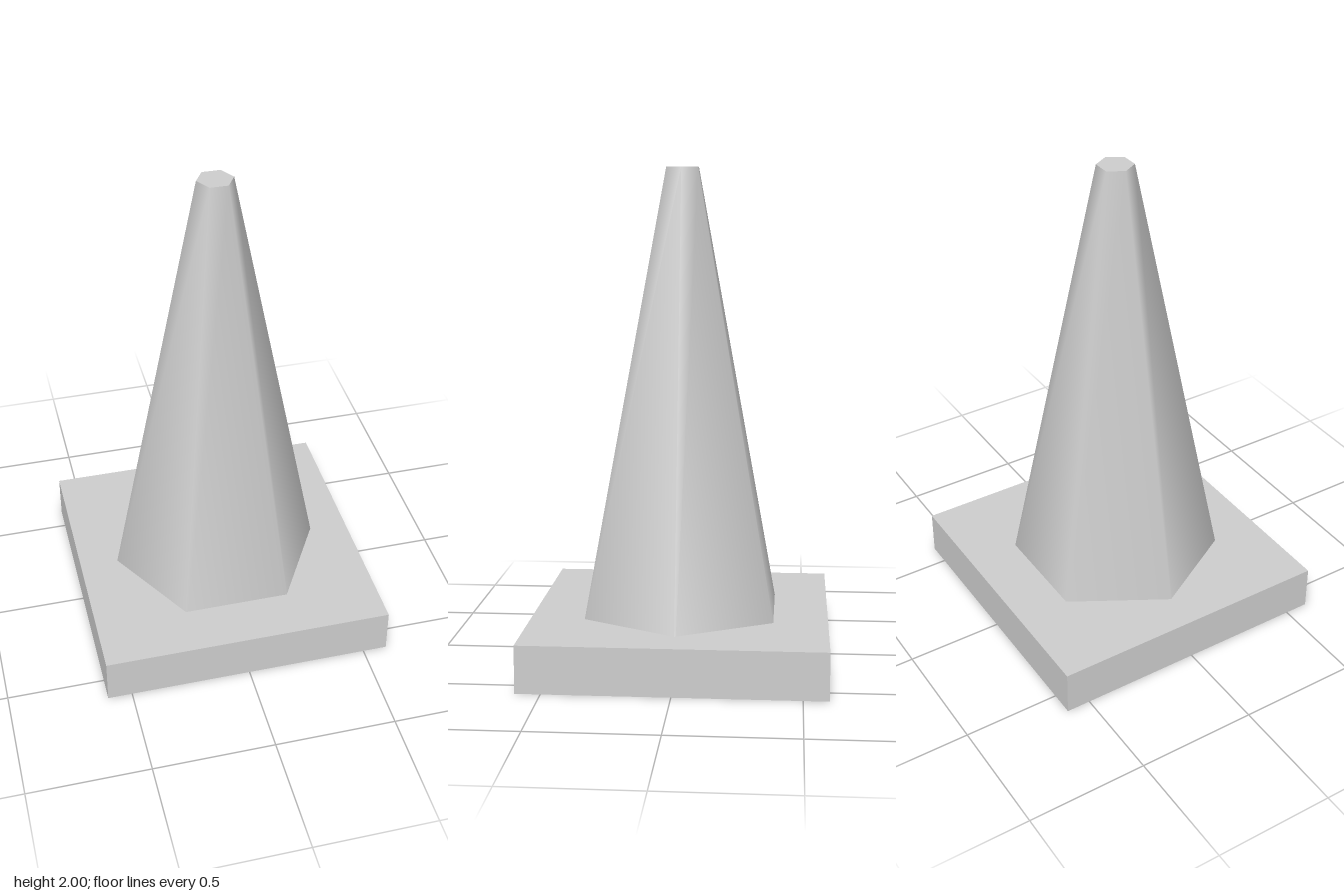
import * as THREE from 'three';

export function createModel() {
  const model = new THREE.Group();
  const grey = new THREE.MeshStandardMaterial({ color: 0xcccccc, side: THREE.DoubleSide });
  grey.name = 'plain grey';

  const add = (name, geometry, y) => {
    const mesh = new THREE.Mesh(geometry, grey);
    mesh.name = name;
    mesh.position.y = y;
    model.add(mesh);
  };

  // Square base, hollow and open underneath (the box's fourth face is its bottom)
  const baseHeight = 0.19;
  const base = new THREE.BoxGeometry(1.2, baseHeight, 1.2);
  const index = Array.from(base.index.array);
  index.splice(18, 6);
  base.setIndex(index);
  base.clearGroups();
  add('base', base, baseHeight / 2);

  // Six-sided cone with smooth normals, running through the base to the ground
  const topRadius = 0.073, sides = 6, turn = Math.PI / 6;
  add('cone', new THREE.CylinderGeometry(topRadius, 0.478, 2, sides, 1, true, turn), 1);

  // Flat cap closing the tip, with a corner on the x axis
  add('coneTip', new THREE.CircleGeometry(topRadius, sides).rotateX(-Math.PI / 2), 2);

  return model;
}
